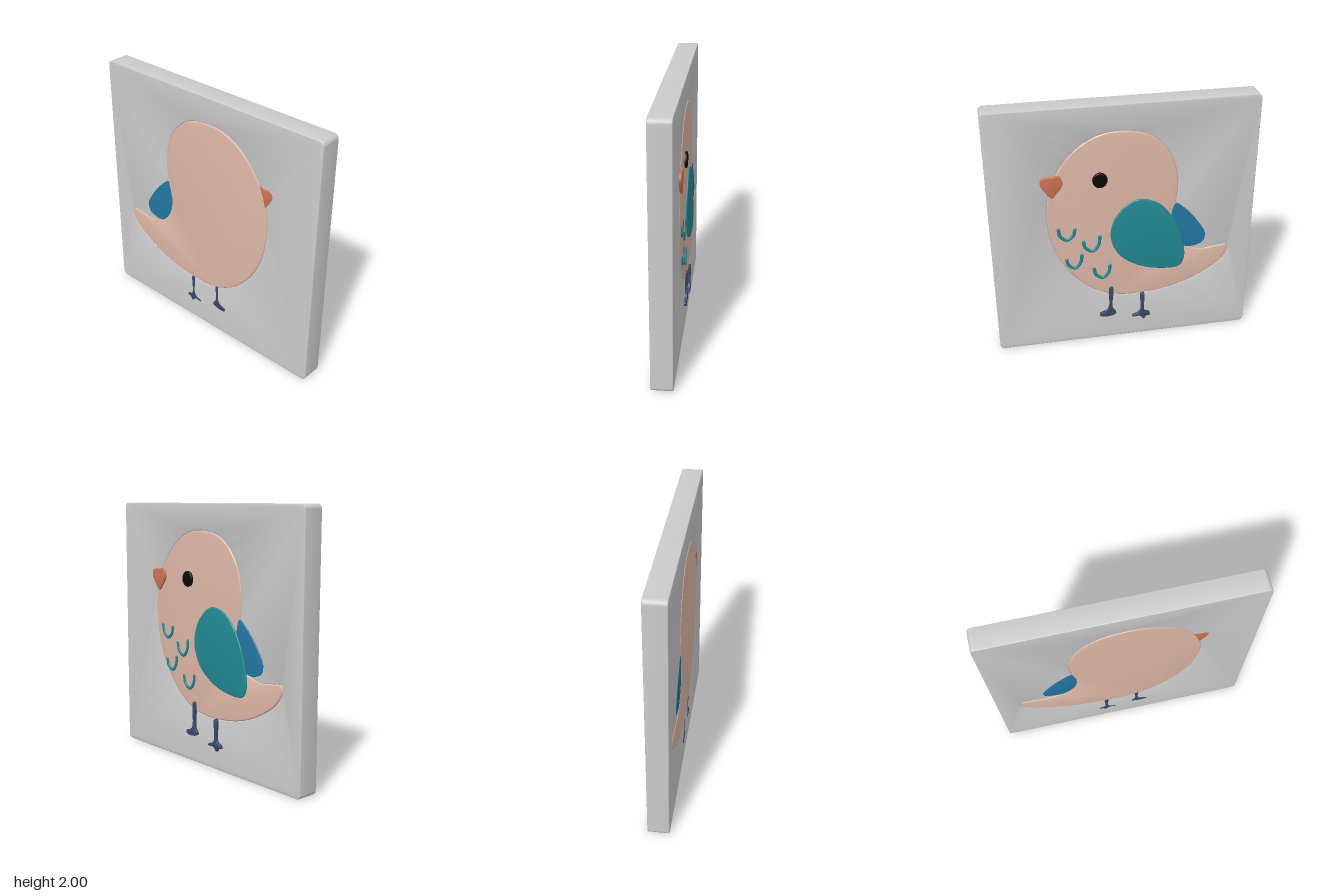
import * as THREE from 'three';
import { toCreasedNormals } from 'three/addons/utils/BufferGeometryUtils.js';

const BODY = [
  [0.03, 1.8], [-0.18, 1.755], [-0.33, 1.61], [-0.4, 1.4], [-0.39, 1.18], [-0.36, 1.02],
  [-0.39, 0.89], [-0.47, 0.8], [-0.6, 0.755], [-0.74, 0.767], [-0.81, 0.768], [-0.82, 0.72],
  [-0.755, 0.62], [-0.6, 0.515], [-0.42, 0.44], [-0.2, 0.4], [0.06, 0.405], [0.25, 0.485],
  [0.41, 0.64], [0.53, 0.86], [0.58, 1.13], [0.56, 1.35], [0.49, 1.52], [0.36, 1.68], [0.2, 1.775]
];
const FAR_WING = [
  [-0.39, 1.18], [-0.5, 1.09], [-0.59, 0.97], [-0.63, 0.89], [-0.615, 0.82], [-0.55, 0.79],
  [-0.48, 0.79], [-0.41, 0.84], [-0.37, 0.92], [-0.36, 1.03], [-0.365, 1.13]
];
const NEAR_WING = [
  [-0.085, 1.24], [0.06, 1.12], [0.108, 0.95], [0.046, 0.78], [-0.1, 0.668], [-0.277, 0.615],
  [-0.43, 0.62], [-0.47, 0.695], [-0.446, 0.871], [-0.369, 1.06], [-0.25, 1.2]
];
const BEAK = [
  [0.48, 1.49], [0.54, 1.487], [0.6, 1.48], [0.618, 1.44], [0.575, 1.36], [0.535, 1.32],
  [0.5, 1.355], [0.455, 1.43]
];
const FRONT_FOOT = [
  [0.095, 0.48], [0.12, 0.48], [0.125, 0.3], [0.145, 0.265], [0.2, 0.24], [0.19, 0.215],
  [0.1, 0.215], [0.07, 0.235], [0.098, 0.29]
];
const REAR_FOOT = [
  [-0.155, 0.395], [-0.13, 0.395], [-0.13, 0.24], [-0.11, 0.21], [-0.06, 0.19], [-0.065, 0.178],
  [-0.12, 0.18], [-0.155, 0.148], [-0.175, 0.175], [-0.205, 0.18], [-0.2, 0.205], [-0.16, 0.225]
];
// Left tip, bottom and right tip of each feather mark
const FEATHERS = [
  [[0.5, 1.045], [0.44, 0.95], [0.377, 1.036]],
  [[0.315, 0.92], [0.245, 0.83], [0.19, 0.953]],
  [[0.446, 0.774], [0.385, 0.695], [0.33, 0.805]],
  [[0.238, 0.669], [0.172, 0.58], [0.115, 0.687]]
];

// Smooth closed outline through a few points
function outline(points, samples) {
  const curve = new THREE.CatmullRomCurve3(
    points.map(([x, y]) => new THREE.Vector3(x, y, 0)), true, 'centripetal');
  return curve.getPoints(samples).slice(0, -1).map(p => new THREE.Vector2(p.x, p.y));
}

function addMesh(group, name, geometry, color) {
  const mesh = new THREE.Mesh(geometry, new THREE.MeshStandardMaterial({ color }));
  mesh.name = name;
  group.add(mesh);
  return mesh;
}

// Plate from z0 to z1 whose rounded edges stay inside its outline
function addPlate(group, name, shape, z0, z1, bevel, color) {
  const geometry = new THREE.ExtrudeGeometry(shape, {
    depth: z1 - z0 - 2 * bevel, bevelThickness: bevel, bevelSize: bevel,
    bevelOffset: -bevel, bevelSegments: 3, curveSegments: 8
  });
  geometry.translate(0, 0, z0 + bevel);
  return addMesh(group, name, toCreasedNormals(geometry, 0.7), color);
}

function roundedSquare(half, r) {
  const s = new THREE.Shape();
  s.absarc(half - r, 2 - r, r, 0, Math.PI / 2);
  s.absarc(-half + r, 2 - r, r, Math.PI / 2, Math.PI);
  s.absarc(-half + r, r, r, Math.PI, Math.PI * 1.5);
  s.absarc(half - r, r, r, Math.PI * 1.5, Math.PI * 2);
  s.closePath();
  return s;
}

export function createModel() {
  const group = new THREE.Group();
  group.name = 'birdTile';

  // Slab with a bird-shaped opening filled by the body
  const bodyPoints = outline(BODY, 140);
  const slab = roundedSquare(1, 0.035);
  slab.holes.push(new THREE.Path(bodyPoints));
  addPlate(group, 'slab', slab, -0.072, 0.09, 0.006, 0xcccccc);
  addPlate(group, 'body', new THREE.Shape(bodyPoints), -0.076, 0.094, 0.01, 0xdeb8a8);

  // Parts running through the slab, showing on both faces
  const through = (name, points, back, color) =>
    addPlate(group, name, new THREE.Shape(outline(points, 80)), back, 0.092, 0.005, color);
  through('farWing', FAR_WING, -0.079, 0x2278a2);
  through('beak', BEAK, -0.09, 0xcb7152);
  through('frontLeg', FRONT_FOOT, -0.092, 0x3c4868);
  through('rearLeg', REAR_FOOT, -0.094, 0x3c4868);

  // Raised details on the back face
  addPlate(group, 'nearWing', new THREE.Shape(outline(NEAR_WING, 90)),
    -0.086, -0.06, 0.008, 0x208a94);
  const eyeShape = new THREE.Shape();
  eyeShape.absellipse(0.183, 1.43, 0.056, 0.06, 0, Math.PI * 2);
  addPlate(group, 'eye', eyeShape, -0.093, -0.06, 0.006, 0x0a0a0a);

  // Feather marks: flattened U-shaped tubes with rounded ends
  FEATHERS.forEach(([a, b, c], i) => {
    const mark = new THREE.Group();
    mark.name = 'featherMark' + (i + 1);
    const v = (x, y) => new THREE.Vector3(x, y, 0);
    const curve = new THREE.CatmullRomCurve3([
      v(...a), v(a[0] * 0.8 + b[0] * 0.2, a[1] * 0.4 + b[1] * 0.6), v(...b),
      v(c[0] * 0.8 + b[0] * 0.2, c[1] * 0.4 + b[1] * 0.6), v(...c)
    ]);
    addMesh(mark, 'featherCurve', new THREE.TubeGeometry(curve, 24, 0.013, 8), 0x208a94);
    for (const [x, y] of [a, c]) {
      addMesh(mark, 'featherTip', new THREE.SphereGeometry(0.013, 10, 8), 0x208a94)
        .position.set(x, y, 0);
    }
    mark.scale.z = 0.75;
    mark.position.z = -0.076;
    group.add(mark);
  });

  return group;
}
